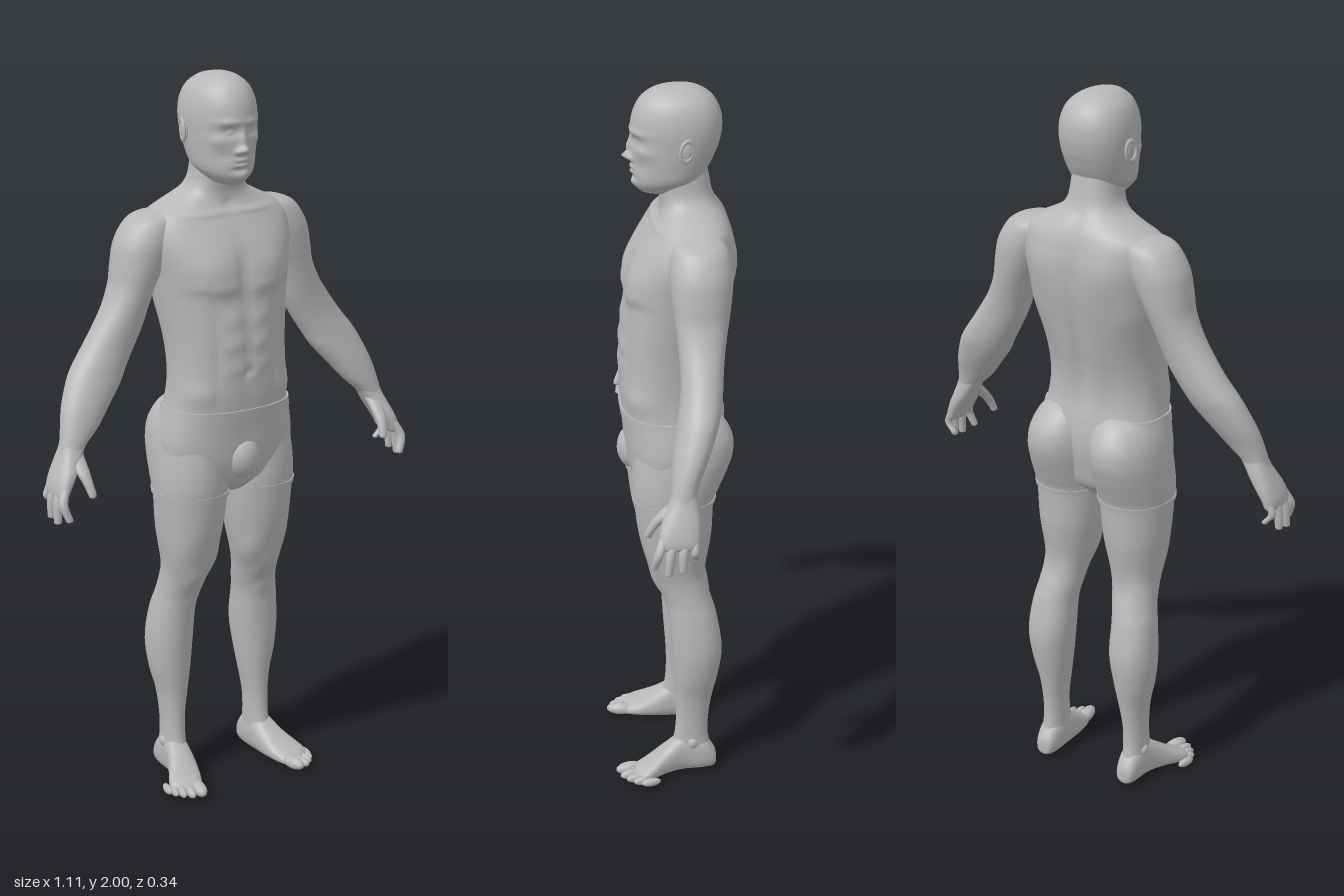
import * as THREE from 'three';

// Smooth interpolation through cross-section rows
function sampleRows(rows, steps) {
  const r = [...rows].sort((a, b) => a[0] - b[0]);
  const out = [];
  for (let i = 0; i < r.length - 1; i++) {
    const p = [r[Math.max(i - 1, 0)], r[i], r[i + 1], r[Math.min(i + 2, r.length - 1)]];
    for (let k = 0; k < steps; k++) {
      const t = k / steps;
      out.push(r[i].map((_, c) => {
        const [a, b, d, e] = p.map((q) => q[c]);
        return b + 0.5 * t * (d - a + t * (2 * a - 5 * b + 4 * d - e + t * (3 * (b - d) + e - a)));
      }));
    }
  }
  out.push(r[r.length - 1]);
  return out;
}

// Skin over horizontal sections. Row: [y, xMin, xMax, zBack, zFront]
// Bump: [x, y, radiusX, radiusY, height, side], side 1 = front, -1 = back
function loft(rows, { n = 32, steps = 5, power = 2, egg = 0, bumps = [], sym = false,
  from = -9, to = 9, grow = 0 } = {}) {
  const rings = sampleRows(rows, steps).filter((q) => q[0] > from - 1e-5 && q[0] < to + 1e-5);
  const pos = [], idx = [];
  const se = (v) => Math.sign(v) * Math.abs(v) ** (2 / power);
  for (const [y, x0, x1, z0, z1] of rings) {
    const cx = (x0 + x1) / 2, cz = (z0 + z1) / 2, a = (x1 - x0) / 2, b = (z1 - z0) / 2;
    for (let j = 0; j < n; j++) {
      const th = (j / n) * Math.PI * 2, c = Math.cos(th), s = Math.sin(th);
      const x = cx + a * se(c) * (1 - egg * s), z = cz + b * se(s);
      let d = grow;
      for (const [bx, by, rx, ry, h, side] of bumps) {
        const w = THREE.MathUtils.smoothstep(s * side, 0, 0.4);
        const u = ((sym ? Math.abs(x) : x) - bx) / rx, v = (y - by) / ry;
        d += h * w * Math.exp(-u * u - v * v);
      }
      const l = Math.hypot(c / a, s / b);
      pos.push(x + (d * c) / a / l, y, z + (d * s) / b / l);
    }
  }
  const m = rings.length;
  for (let i = 0; i < m - 1; i++) for (let j = 0; j < n; j++) {
    const p = i * n + j, q = i * n + (j + 1) % n;
    idx.push(p, p + n, q, q, p + n, q + n);
  }
  // End caps
  for (const [i, up] of [[0, false], [m - 1, true]]) {
    const base = pos.length / 3, [y, x0, x1, z0, z1] = rings[i];
    pos.push(...pos.slice(i * n * 3, (i + 1) * n * 3), (x0 + x1) / 2, y, (z0 + z1) / 2);
    for (let j = 0; j < n; j++) {
      const p = base + j, q = base + (j + 1) % n;
      idx.push(base + n, ...(up ? [q, p] : [p, q]));
    }
  }
  const g = new THREE.BufferGeometry();
  g.setAttribute('position', new THREE.Float32BufferAttribute(pos, 3));
  g.setIndex(idx);
  g.computeVertexNormals();
  return g;
}

function mirrored(geo) {
  const g = geo.clone().scale(-1, 1, 1), a = g.index.array;
  for (let i = 0; i < a.length; i += 3) [a[i + 1], a[i + 2]] = [a[i + 2], a[i + 1]];
  g.computeVertexNormals();
  return g;
}

function ellipsoid(x, y, z, rx, ry, rz, turn = 0) {
  return new THREE.SphereGeometry(1, 20, 14).scale(rx, ry, rz).rotateY(turn).translate(x, y, z);
}

// Tapered digit through points [x, y, z, radius]
function digit(points) {
  const rows = points.map(([x, y, z, r]) => [y, x - r, x + r, z - r, z + r]);
  const [x, y, z, r] = points[points.length - 1];
  rows.push([y - r * 0.6, x - r * 0.75, x + r * 0.75, z - r * 0.75, z + r * 0.75]);
  rows.push([y - r * 0.95, x - r * 0.2, x + r * 0.2, z - r * 0.2, z + r * 0.2]);
  return loft(rows, { n: 16, steps: 4 });
}

export function createModel() {
  const model = new THREE.Group();
  const skin = new THREE.MeshStandardMaterial({ color: 0xb8b8b8 });
  skin.name = 'clay grey';
  const add = (name, geo) => {
    const mesh = new THREE.Mesh(geo, skin);
    mesh.name = name;
    model.add(mesh);
  };
  const addPair = (name, geo) => {
    add(name + 'Left', geo);
    add(name + 'Right', mirrored(geo));
  };
  const centred = (rows) => rows.map(([y, w, b, f]) => [y, -w, w, b, f]);

  // Torso and neck
  const torso = centred([
    [0.86, 0.05, -0.05, 0.07], [0.9, 0.12, -0.09, 0.108], [0.95, 0.185, -0.105, 0.122],
    [1.0, 0.196, -0.115, 0.128], [1.05, 0.19, -0.117, 0.132], [1.1, 0.178, -0.11, 0.138],
    [1.15, 0.17, -0.1, 0.142], [1.2, 0.167, -0.098, 0.142], [1.25, 0.167, -0.106, 0.14],
    [1.3, 0.17, -0.12, 0.138], [1.36, 0.178, -0.136, 0.132], [1.42, 0.187, -0.15, 0.124],
    [1.48, 0.195, -0.16, 0.115], [1.55, 0.212, -0.163, 0.098], [1.6, 0.213, -0.158, 0.072],
    [1.63, 0.198, -0.151, 0.053], [1.65, 0.163, -0.143, 0.04], [1.67, 0.122, -0.131, 0.032],
    [1.69, 0.09, -0.118, 0.03], [1.72, 0.072, -0.107, 0.035], [1.78, 0.066, -0.095, 0.042],
  ]);
  const torsoOpts = { n: 96, power: 2.35, sym: true, bumps: [
    [0.085, 1.49, 0.075, 0.055, 0.017, 1], [0.07, 1.445, 0.06, 0.018, 0.006, 1], // chest
    [0, 1.48, 0.016, 0.08, -0.007, 1], [0.13, 1.43, 0.03, 0.012, -0.003, 1],
    [0.115, 1.46, 0.007, 0.007, 0.004, 1], // nipples
    [0.04, 1.36, 0.028, 0.024, 0.005, 1], [0.04, 1.295, 0.028, 0.024, 0.005, 1], // abdomen
    [0.04, 1.23, 0.028, 0.024, 0.004, 1], [0, 1.29, 0.008, 0.12, -0.004, 1],
    [0.09, 1.26, 0.012, 0.12, -0.004, 1], [0, 1.215, 0.009, 0.009, -0.01, 1],
    [0.13, 1.16, 0.04, 0.03, 0.006, 1], [0.07, 1.635, 0.07, 0.008, 0.005, 1],
    [0, 1.655, 0.016, 0.014, -0.006, 1],
    [0, 1.4, 0.02, 0.24, -0.014, -1], [0.045, 1.22, 0.025, 0.1, 0.006, -1], // spine
    [0.1, 1.54, 0.055, 0.07, 0.01, -1], [0.14, 1.42, 0.05, 0.07, 0.006, -1], // shoulder blades
  ] };
  add('torso', loft(torso, torsoOpts));

  // Head
  const head = centred([
    [1.712, 0.025, 0.0, 0.07], [1.718, 0.042, -0.02, 0.083], [1.74, 0.066, -0.05, 0.098],
    [1.76, 0.08, -0.08, 0.101], [1.79, 0.087, -0.1, 0.103], [1.82, 0.092, -0.114, 0.104],
    [1.85, 0.095, -0.125, 0.105], [1.89, 0.097, -0.132, 0.107], [1.93, 0.092, -0.128, 0.1],
    [1.965, 0.077, -0.11, 0.082], [1.988, 0.05, -0.08, 0.053], [1.997, 0.027, -0.05, 0.025],
    [2.0, 0.006, -0.018, -0.006],
  ]);
  add('head', loft(head, { n: 112, steps: 8, power: 2.15, egg: 0.13, sym: true, bumps: [
    [0, 1.812, 0.011, 0.011, 0.022, 1], [0, 1.838, 0.009, 0.024, 0.013, 1], // nose
    [0.014, 1.807, 0.007, 0.007, 0.008, 1],
    [0.034, 1.859, 0.02, 0.013, -0.012, 1], [0.034, 1.858, 0.011, 0.007, 0.007, 1], // eyes
    [0.032, 1.884, 0.028, 0.008, 0.005, 1], [0.06, 1.835, 0.018, 0.016, 0.004, 1], // brow, cheek
    [0.045, 1.795, 0.018, 0.02, -0.004, 1],
    [0, 1.784, 0.02, 0.005, 0.007, 1], [0, 1.77, 0.018, 0.005, 0.007, 1], // lips
    [0, 1.757, 0.022, 0.005, -0.004, 1], [0, 1.738, 0.022, 0.012, 0.007, 1], // chin
  ] }));

  // Ears
  const place = (g) => g.rotateX(-0.15).translate(0.099, 1.852, -0.03);
  addPair('ear', place(new THREE.SphereGeometry(1, 20, 14).scale(0.007, 0.029, 0.017)));
  addPair('earRim', place(new THREE.TorusGeometry(0.017, 0.0045, 10, 28)
    .rotateY(Math.PI / 2).scale(1, 1.6, 1).rotateY(0.25).translate(0.004, 0, 0)));

  // Arms
  addPair('arm', loft([
    [1.642, 0.14, 0.19, -0.085, -0.03], [1.632, 0.115, 0.232, -0.113, 0.003],
    [1.61, 0.11, 0.262, -0.13, 0.018], [1.56, 0.13, 0.29, -0.138, 0.026],
    [1.5, 0.16, 0.302, -0.133, 0.023], [1.45, 0.187, 0.31, -0.125, 0.017],
    [1.395, 0.208, 0.334, -0.114, 0.012], [1.34, 0.228, 0.37, -0.105, 0.009],
    [1.29, 0.254, 0.406, -0.099, 0.01], [1.24, 0.284, 0.444, -0.09, 0.018],
    [1.2, 0.308, 0.466, -0.077, 0.027], [1.15, 0.35, 0.487, -0.056, 0.038],
    [1.1, 0.392, 0.5, -0.032, 0.046], [1.06, 0.435, 0.508, -0.018, 0.05],
    [1.04, 0.452, 0.512, -0.018, 0.052],
  ], { n: 48, power: 2.1 }));

  // Hands: palm, four fingers and thumb
  addPair('palm', loft([
    [1.075, 0.425, 0.503, -0.016, 0.044], [1.05, 0.444, 0.51, -0.019, 0.052],
    [1.02, 0.462, 0.523, -0.022, 0.066], [0.99, 0.482, 0.536, -0.023, 0.08],
    [0.96, 0.502, 0.546, -0.02, 0.086], [0.938, 0.514, 0.547, -0.016, 0.084],
    [0.93, 0.522, 0.54, -0.005, 0.07],
  ], { power: 2.5 }));
  for (const [name, z, tipX, tipY, tipZ] of [['index', 0.074, 0.53, 0.885, 0.098],
    ['middle', 0.047, 0.545, 0.873, 0.063], ['ring', 0.019, 0.544, 0.879, 0.026],
    ['little', -0.007, 0.522, 0.9, -0.008]]) {
    const r = name === 'little' ? 0.0105 : 0.0125;
    addPair(name + 'Finger', digit([[0.524, 0.965, z, r], [0.541, 0.925, (z + tipZ) / 2 + 0.002, r],
      [tipX, tipY, tipZ, r * 0.85]]));
  }
  addPair('thumb', digit([[0.472, 1.04, 0.03, 0.02], [0.474, 1.005, 0.068, 0.019],
    [0.47, 0.975, 0.093, 0.014], [0.465, 0.945, 0.108, 0.011]]));

  // Legs and buttocks
  const leg = [
    [1.125, 0.05, 0.12, -0.08, 0.05], [1.1, 0.015, 0.165, -0.12, 0.085],
    [1.05, 0.004, 0.19, -0.152, 0.1], [1.0, 0.002, 0.2, -0.156, 0.108],
    [0.95, 0.002, 0.204, -0.141, 0.114], [0.9, 0.003, 0.205, -0.12, 0.116],
    [0.855, 0.007, 0.203, -0.105, 0.113], [0.75, 0.02, 0.196, -0.099, 0.1],
    [0.65, 0.042, 0.181, -0.083, 0.073], [0.6, 0.055, 0.18, -0.087, 0.05],
    [0.55, 0.064, 0.186, -0.1, 0.03], [0.5, 0.073, 0.195, -0.113, 0.02],
    [0.4, 0.076, 0.204, -0.126, 0.012], [0.32, 0.084, 0.196, -0.118, 0.007],
    [0.25, 0.095, 0.179, -0.103, 0.002], [0.18, 0.106, 0.171, -0.092, 0],
    [0.12, 0.108, 0.17, -0.09, 0.004], [0.07, 0.108, 0.172, -0.098, 0.015],
    [0.03, 0.112, 0.168, -0.1, 0.01],
  ];
  const legOpts = { n: 56, power: 2.12, bumps: [
    [0.118, 0.605, 0.032, 0.035, 0.009, 1], [0.118, 0.53, 0.018, 0.02, 0.004, 1], // knee
    [0.06, 0.67, 0.025, 0.04, 0.006, 1], [0.165, 0.69, 0.025, 0.05, 0.004, 1],
    [0.1, 0.43, 0.028, 0.07, 0.005, -1], [0.175, 0.44, 0.028, 0.07, 0.004, -1], // calf
    [0.12, 0.6, 0.02, 0.03, -0.004, -1],
  ] };
  addPair('leg', loft(leg, legOpts));
  addPair('ankleBone', ellipsoid(0.166, 0.095, -0.045, 0.012, 0.017, 0.016));

  // Shorts: close shell over hips, waistband and hems
  addPair('shortsLeg', loft(leg, { ...legOpts, from: 0.855, grow: 0.002 }));
  addPair('shortsHem', loft(leg, { ...legOpts, from: 0.855, to: 0.873, grow: 0.0045 }));
  add('shortsHips', loft(torso, { ...torsoOpts, from: 0.9, to: 1.1, grow: 0.002 }));
  add('waistband', loft(torso, { ...torsoOpts, from: 1.078, to: 1.115, grow: 0.0045 }));
  add('shortsFront', ellipsoid(0, 0.968, 0.1, 0.052, 0.064, 0.05));

  // Feet: rows run from heel to toes, then turn to face forward
  addPair('foot', loft([
    [-0.114, 0.127, 0.153, -0.045, -0.018], [-0.107, 0.115, 0.165, -0.066, -0.006],
    [-0.075, 0.107, 0.173, -0.105, 0], [-0.02, 0.107, 0.177, -0.115, 0],
    [0.03, 0.109, 0.195, -0.084, 0], [0.07, 0.117, 0.217, -0.056, 0],
    [0.095, 0.126, 0.224, -0.041, 0], [0.118, 0.137, 0.205, -0.029, -0.002],
    [0.126, 0.145, 0.19, -0.02, -0.006],
  ], { n: 40, power: 2.4 }).rotateX(Math.PI / 2));
  [[0.157, 0.135, 0.019, 0.018, 0.04], [0.184, 0.133, 0.0125, 0.014, 0.032],
    [0.203, 0.117, 0.0115, 0.0135, 0.032], [0.218, 0.1, 0.011, 0.013, 0.03],
    [0.228, 0.08, 0.0105, 0.012, 0.028]].forEach(([x, z, rx, ry, rz], i) =>
    addPair('toe' + (i + 1), ellipsoid(x, ry, z, rx, ry, rz, 0.2)));

  return model;
}
